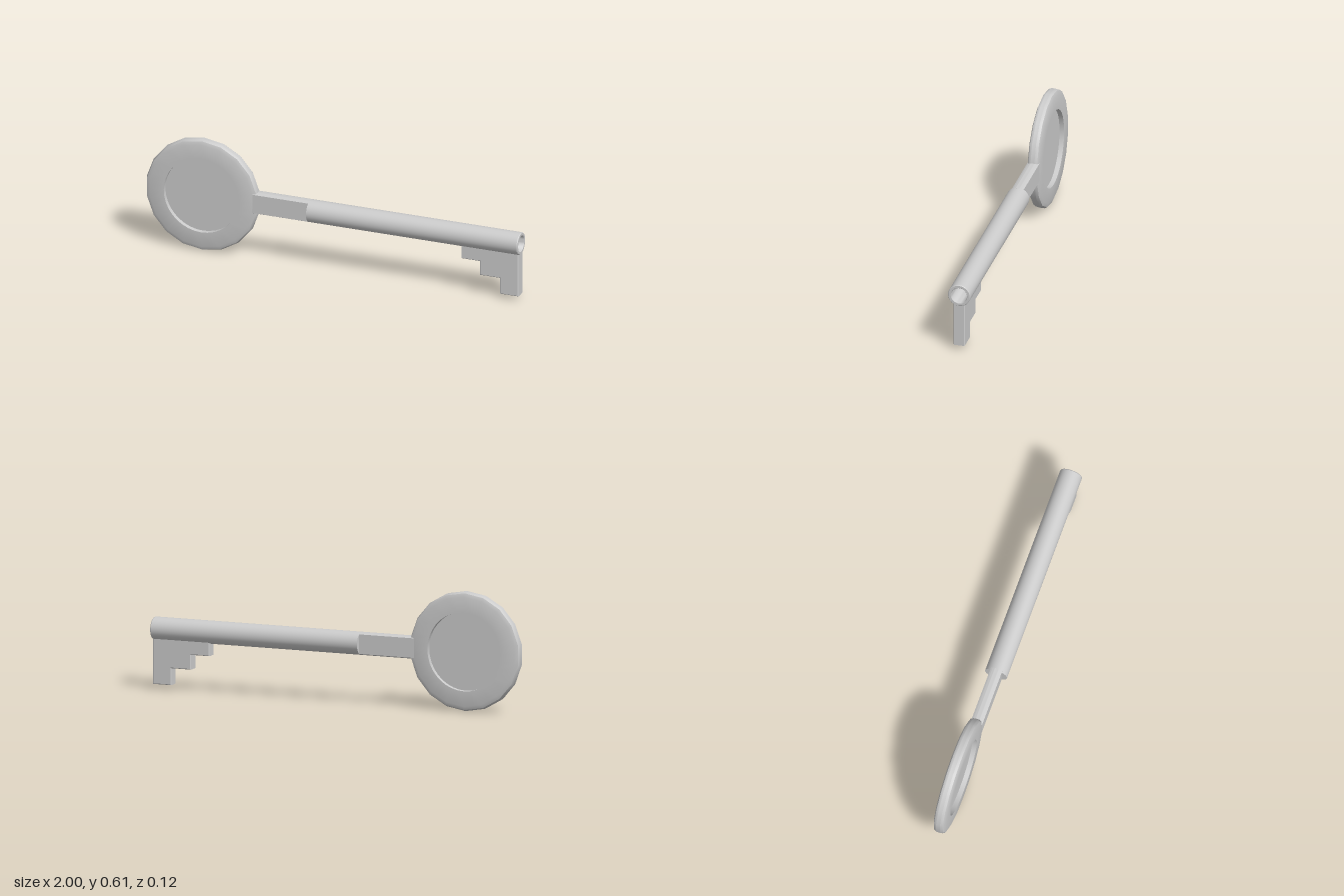
import * as THREE from 'three';
import { toCreasedNormals } from 'three/addons/utils/BufferGeometryUtils.js';

const AXIS_Y = 0.303;
const material = new THREE.MeshStandardMaterial({ color: 0xcccccc });

function addPart(group, name, geometry, crease = Math.PI / 5) {
  const mesh = new THREE.Mesh(toCreasedNormals(geometry, crease), material);
  mesh.name = name;
  group.add(mesh);
  return mesh;
}

const points = (list) => list.map(([x, y]) => new THREE.Vector2(x, y));

// Round handle: an 18-sided rim around a circular recess on both faces
function bowGeometry() {
  const half = [[0, 0.006], [0.2, 0.006], [0.2, 0.03], [0.278, 0.03], [0.296, 0.023], [0.303, 0.01]];
  const profile = [...half.map(([r, h]) => [r, -h]), ...half.slice().reverse()];
  const geometry = new THREE.LatheGeometry(points(profile), 36);
  const pos = geometry.attributes.position;
  const flat = Math.cos(Math.PI / 18);
  for (let i = 0; i < pos.count; i++) {
    const step = Math.floor(i / profile.length);
    const radius = profile[i % profile.length][0];
    // pull every second rim point onto the chord of the 18-gon
    if (step % 2 === 1 && radius > 0.25) {
      pos.setXYZ(i, pos.getX(i) * flat, pos.getY(i), pos.getZ(i) * flat);
    }
  }
  return geometry.rotateX(Math.PI / 2);
}

// Neck: the round rod cut flat on its front and back
function neckGeometry(length) {
  const r = 0.058, a = Math.asin(0.03 / r);
  const shape = new THREE.Shape();
  shape.absarc(0, 0, r, Math.PI / 2 - a, Math.PI / 2 + a, false);
  shape.absarc(0, 0, r, -Math.PI / 2 - a, -Math.PI / 2 + a, false);
  shape.closePath();
  return new THREE.ExtrudeGeometry(shape, { depth: length, bevelEnabled: false, curveSegments: 8 })
    .rotateY(Math.PI / 2);
}

export function createModel() {
  const key = new THREE.Group();
  key.name = 'key';

  addPart(key, 'bow', bowGeometry()).position.set(-0.702, AXIS_Y, 0);
  addPart(key, 'neck', neckGeometry(0.31)).position.set(-0.43, AXIS_Y, 0);

  // Shaft with a bored end
  const shaft = new THREE.LatheGeometry(points([
    [0, -0.13], [0.058, -0.13], [0.058, 0.996], [0.055, 1],
    [0.043, 1], [0.041, 0.997], [0.041, 0.75], [0, 0.75],
  ]), 32).rotateZ(-Math.PI / 2);
  addPart(key, 'shaft', shaft).position.y = AXIS_Y;

  // Stepped bit under the end of the shaft
  const b = 0.004;
  const outline = new THREE.Shape(points([
    [0.693, 0.254], [0.693, 0.189], [0.793, 0.189], [0.793, 0.114],
    [0.901, 0.114], [0.901, 0.028], [0.992, 0.028], [0.992, 0.254],
  ]));
  const bit = new THREE.ExtrudeGeometry(outline, {
    depth: 0.06 - 2 * b, bevelThickness: b, bevelSize: b, bevelSegments: 1,
  }).translate(0, 0, b - 0.03);
  addPart(key, 'bit', bit);

  return key;
}
